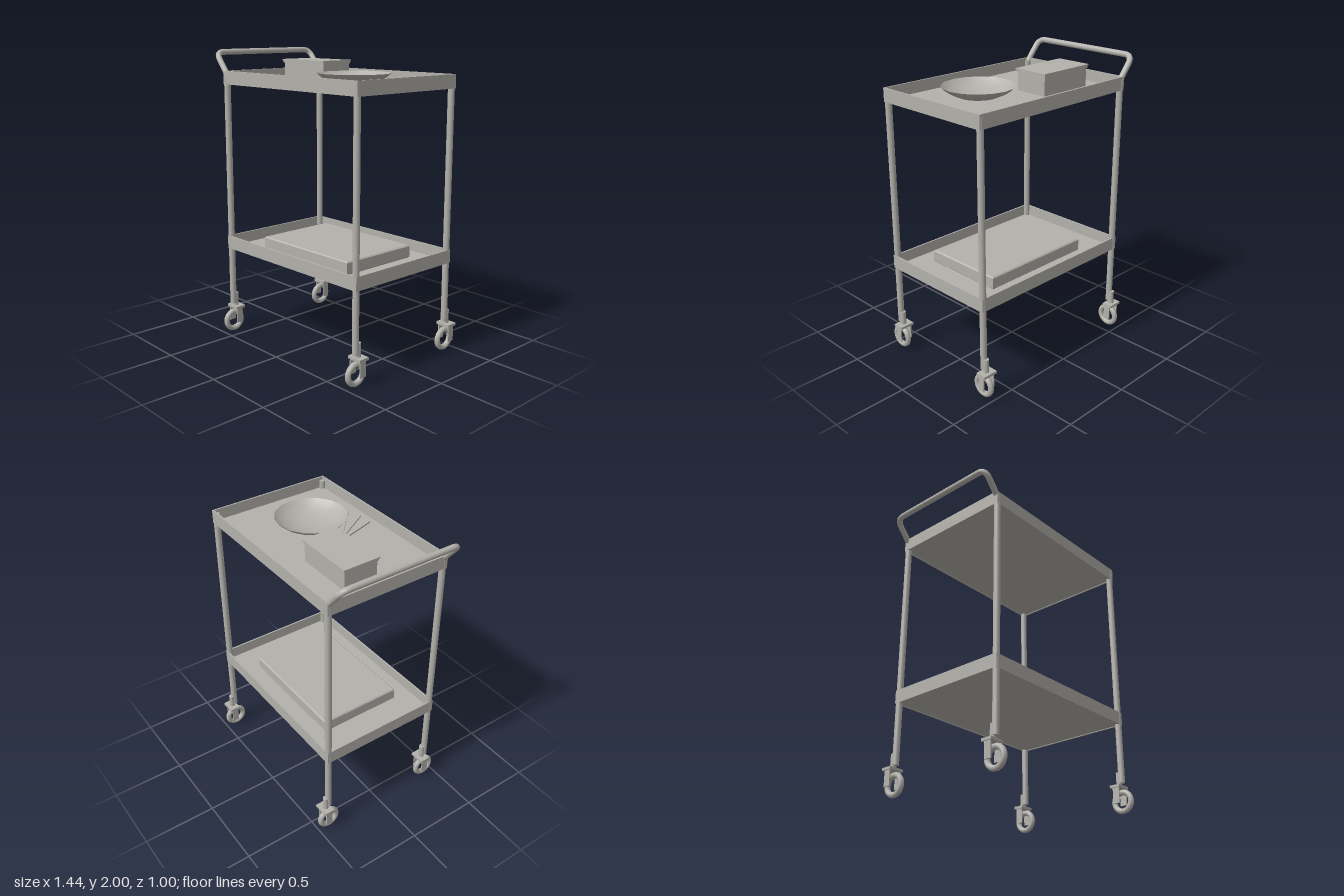
import * as THREE from 'three';

const steel = new THREE.MeshStandardMaterial({ color: 0xb3b1ab, side: THREE.DoubleSide });
steel.name = 'brushed grey steel';

const POST_X = [-0.583, 0.668];
const POST_Z = [-0.418, 0.418];

function add(parent, name, geometry, x = 0, y = 0, z = 0) {
  const mesh = new THREE.Mesh(geometry, steel);
  mesh.name = name;
  mesh.position.set(x, y, z);
  parent.add(mesh);
  return mesh;
}

// Box given by its minimum and maximum along each axis
function addBox(parent, name, [x0, x1], [y0, y1], [z0, z1]) {
  return add(parent, name, new THREE.BoxGeometry(x1 - x0, y1 - y0, z1 - z0),
    (x0 + x1) / 2, (y0 + y1) / 2, (z0 + z1) / 2);
}

function rectangle(target, hw, hd) {
  target.moveTo(-hw, -hd).lineTo(hw, -hd).lineTo(hw, hd).lineTo(-hw, hd).closePath();
  return target;
}

// Shallow tray: a raised rim around a thin floor
function createTray(name, y) {
  const tray = new THREE.Group();
  tray.name = name;
  const hw = 0.646, hd = 0.436, wall = 0.011;
  const rim = rectangle(new THREE.Shape(), hw, hd);
  rim.holes.push(rectangle(new THREE.Path(), hw - wall, hd - wall));
  const rimGeometry = new THREE.ExtrudeGeometry(rim, { depth: 0.09, bevelEnabled: false });
  rimGeometry.rotateX(-Math.PI / 2);
  add(tray, 'trayRim', rimGeometry);
  add(tray, 'trayFloor', new THREE.BoxGeometry(2 * (hw - wall), 0.01, 2 * (hd - wall)), 0, 0.009, 0);
  tray.position.set(0.043, y, 0);
  return tray;
}

// Caster: stem, top plate, two fork cheeks and a ring wheel
function createCaster(x, z) {
  const caster = new THREE.Group();
  caster.name = 'caster';
  const swivel = -0.021;
  add(caster, 'casterStem', new THREE.CylinderGeometry(0.019, 0.019, 0.1, 12), 0, 0.235, swivel);
  add(caster, 'casterPlate', new THREE.BoxGeometry(0.106, 0.018, 0.074), 0, 0.184, swivel - 0.004);
  for (const side of [-1, 1]) {
    add(caster, 'casterFork', new THREE.BoxGeometry(0.008, 0.108, 0.048), side * 0.042, 0.124, swivel);
  }
  const wheel = new THREE.TorusGeometry(0.063, 0.019, 10, 18).rotateY(Math.PI / 2);
  add(caster, 'casterWheel', wheel, 0, 0.084, 0);
  caster.position.set(x, 0, z);
  return caster;
}

// Push handle: leans outward from two posts, with rounded corners
function createHandle() {
  const v = (x, y, z) => new THREE.Vector3(x, y, z);
  const foot = s => v(-0.583, 1.835, s * 0.418);
  const bendStart = s => v(-0.664, 1.932, s * 0.418);
  const corner = s => v(-0.703, 1.98, s * 0.418);
  const bendEnd = s => v(-0.703, 1.98, s * 0.36);
  const path = new THREE.CurvePath();
  path.add(new THREE.LineCurve3(foot(-1), bendStart(-1)));
  path.add(new THREE.QuadraticBezierCurve3(bendStart(-1), corner(-1), bendEnd(-1)));
  path.add(new THREE.LineCurve3(bendEnd(-1), bendEnd(1)));
  path.add(new THREE.QuadraticBezierCurve3(bendEnd(1), corner(1), bendStart(1)));
  path.add(new THREE.LineCurve3(bendStart(1), foot(1)));
  return new THREE.TubeGeometry(path, 56, 0.02, 12, false);
}

export function createModel() {
  const cart = new THREE.Group();
  cart.name = 'serviceCart';

  cart.add(createTray('lowerTray', 0.62), createTray('upperTray', 1.77));

  // Posts and casters at the four corners
  for (const x of POST_X) {
    for (const z of POST_Z) {
      add(cart, 'post', new THREE.CylinderGeometry(0.022, 0.022, 1.63, 12), x, 1.025, z);
      cart.add(createCaster(x, z));
    }
  }
  add(cart, 'handle', createHandle());

  // Lidded container on the upper tray
  const container = new THREE.Group();
  container.name = 'container';
  addBox(container, 'containerBody', [-0.467, -0.067], [1.784, 1.91], [-0.224, 0.01]);
  addBox(container, 'containerCollar', [-0.473, -0.061], [1.905, 1.921], [-0.229, 0.015]);
  addBox(container, 'containerLid', [-0.479, -0.055], [1.92, 1.93], [-0.235, 0.021]);
  cart.add(container);

  // Wide shallow bowl
  const profile = [[0, 0], [0.07, 0.002], [0.13, 0.016], [0.18, 0.038], [0.215, 0.061], [0.237, 0.082]]
    .map(([r, y]) => new THREE.Vector2(r, y));
  add(cart, 'bowl', new THREE.LatheGeometry(profile, 16), 0.254, 1.786, 0.04);

  // Three flat utensils fanned out beside the bowl
  for (const [x, z, angle] of [[0.047, 0.243, 0.3], [0.108, 0.25, 0.55], [0.173, 0.245, 0.81]]) {
    add(cart, 'utensil', new THREE.BoxGeometry(0.023, 0.01, 0.288), x, 1.789, z).rotation.y = angle;
  }

  // Board with softened edges on the lower tray
  const bevel = 0.008;
  const board = new THREE.ExtrudeGeometry(rectangle(new THREE.Shape(), 0.415 - bevel, 0.29 - bevel), {
    depth: 0.088 - 2 * bevel, bevelEnabled: true, bevelSize: bevel, bevelThickness: bevel, bevelSegments: 1,
  });
  board.rotateX(-Math.PI / 2);
  add(cart, 'board', board, 0.045, 0.634 + bevel, 0);

  return cart;
}
